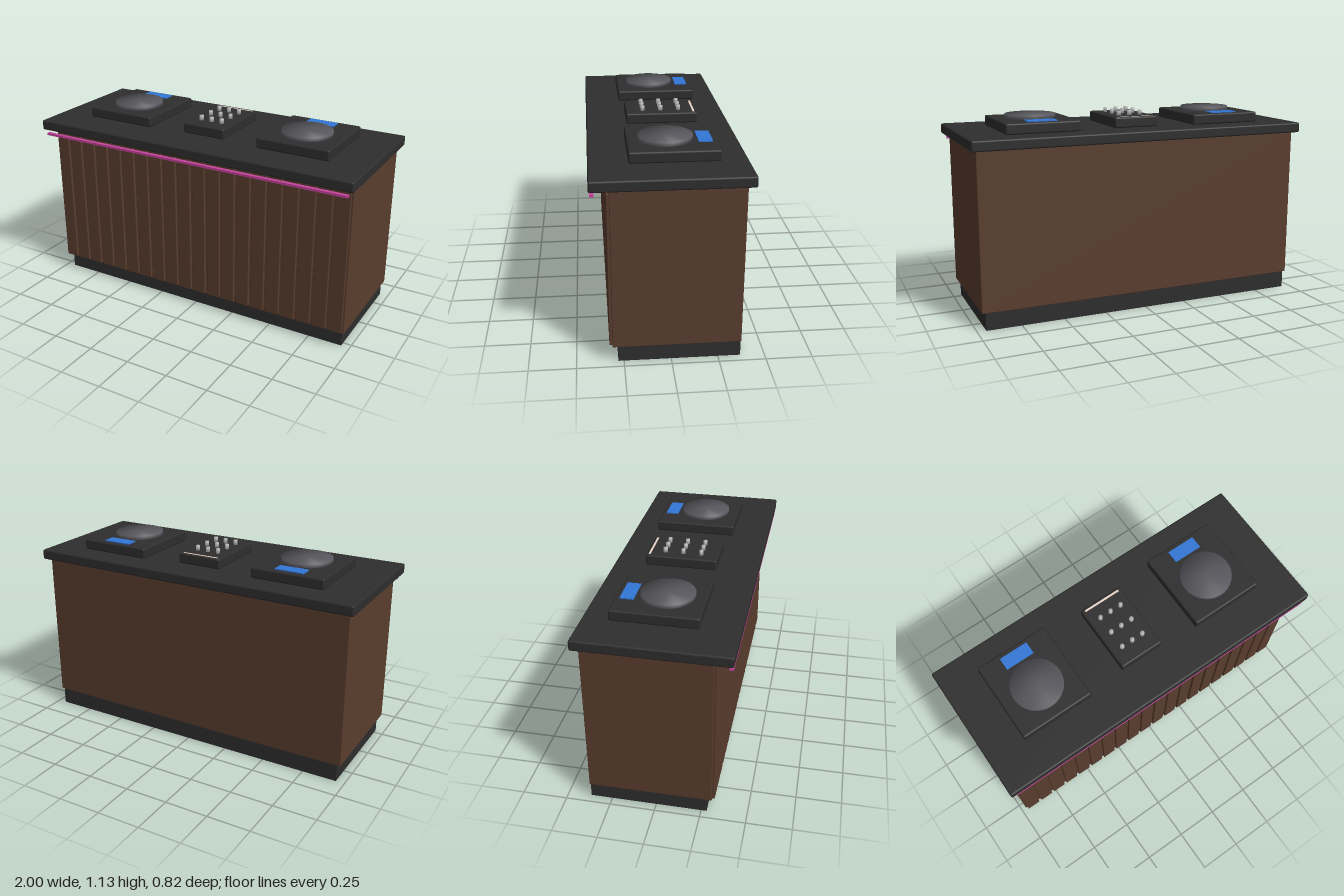
import * as THREE from 'three';
import { RoundedBoxGeometry } from 'three/addons/geometries/RoundedBoxGeometry.js';

const paint = (name, hex) => {
  const m = new THREE.MeshStandardMaterial({ color: hex });
  m.name = name;
  return m;
};

// Squat cylinder whose normals lean outward at the rim, so the top reads as softly domed
function softDisc(radius, height, sides) {
  const g = new THREE.CylinderGeometry(radius, radius, height, sides);
  const p = g.attributes.position, n = g.attributes.normal, v = new THREE.Vector3();
  for (let i = 0; i < p.count; i++) {
    v.set(p.getX(i) / radius, Math.sign(p.getY(i)), p.getZ(i) / radius).normalize();
    n.setXYZ(i, v.x, v.y, v.z);
  }
  return g;
}

export function createModel() {
  const model = new THREE.Group();
  model.name = 'djBooth';

  const black = paint('matte black', 0x2e2e2e);
  const wood = paint('dark wood', 0x5a3d2e);
  const platterGrey = paint('platter grey', 0x57575d);
  const silver = paint('silver', 0xb4b4b4);
  const blue = paint('screen blue', 0x3377d6);
  const pink = paint('light strip pink', 0xc8449f);
  const cream = paint('cream', 0xecd8cc);

  const add = (parent, name, geometry, material, x, y, z) => {
    const mesh = new THREE.Mesh(geometry, material);
    mesh.name = name;
    mesh.position.set(x, y, z);
    parent.add(mesh);
    return mesh;
  };
  // Box given by its limits on each axis, with an optional edge radius
  const box = (parent, name, material, [x0, x1], [y0, y1], [z0, z1], r = 0) => {
    const size = [x1 - x0, y1 - y0, z1 - z0];
    const g = r ? new RoundedBoxGeometry(...size, 2, r) : new THREE.BoxGeometry(...size);
    return add(parent, name, g, material, (x0 + x1) / 2, (y0 + y1) / 2, (z0 + z1) / 2);
  };

  // Counter
  box(model, 'plinth', black, [-0.95, 0.95], [0, 0.097], [-0.37, 0.28]);
  box(model, 'cabinet', wood, [-0.97, 0.97], [0.097, 0.983], [-0.37, 0.31], 0.004);
  box(model, 'worktop', black, [-1, 1], [0.983, 1.042], [-0.41, 0.41], 0.01);
  box(model, 'lightStrip', pink, [-0.97, 0.97], [0.951, 0.964], [0.383, 0.405]);

  // Vertical front slats
  const slats = new THREE.Group();
  slats.name = 'frontSlats';
  model.add(slats);
  const count = 20, pitch = 0.0968;
  for (let i = 0; i < count; i++) {
    const x = (i - (count - 1) / 2) * pitch;
    box(slats, 'slat', wood, [x - 0.04, x + 0.04], [0.105, 0.958], [0.305, 0.325], 0.003);
  }

  // Two decks, each with a platter and a screen
  for (const side of [-1, 1]) {
    const deck = new THREE.Group();
    deck.name = side > 0 ? 'leftDeck' : 'rightDeck';
    deck.position.x = side * 0.565;
    model.add(deck);
    box(deck, 'deckBody', black, [-0.215, 0.215], [1.042, 1.103], [-0.268, 0.205], 0.01);
    add(deck, 'platter', softDisc(0.145, 0.03, 48), platterGrey, 0, 1.11, 0);
    box(deck, 'screen', blue, [-0.085, 0.085], [1.101, 1.109], [-0.24, -0.166]);
  }

  // Mixer with a grid of knobs and a marker line
  const mixer = new THREE.Group();
  mixer.name = 'mixer';
  model.add(mixer);
  box(mixer, 'mixerBody', black, [-0.132, 0.132], [1.042, 1.103], [-0.23, 0.18], 0.01);
  box(mixer, 'markerLine', cream, [-0.112, 0.112], [1.099, 1.104], [-0.216, -0.204]);
  const knob = softDisc(0.012, 0.034, 16);
  for (const x of [-0.067, 0, 0.067]) {
    for (const z of [-0.125, -0.021, 0.083]) add(mixer, 'knob', knob, silver, x, 1.114, z);
  }

  return model;
}
